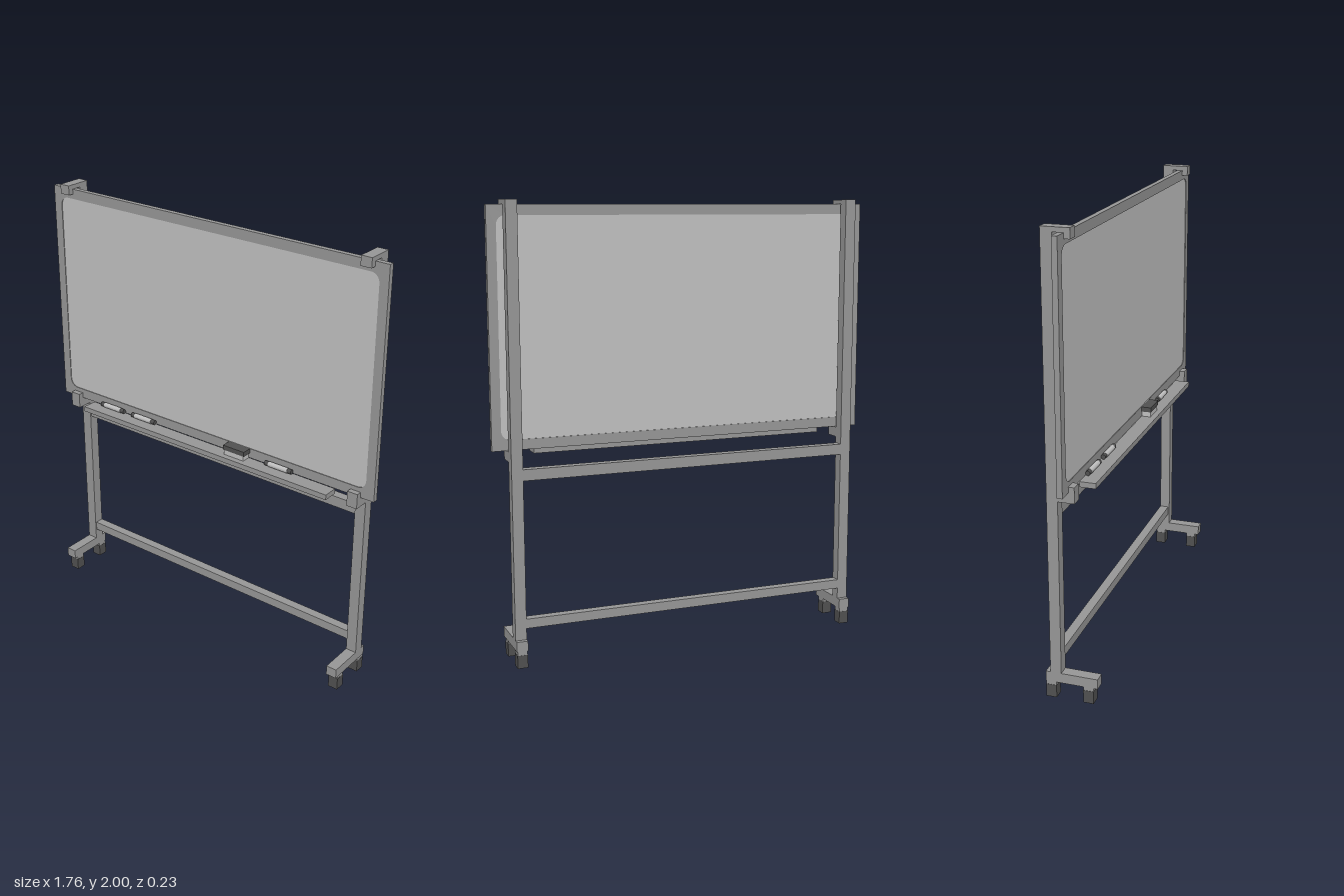
import * as THREE from 'three';

const mat = (name, color) => {
  const m = new THREE.MeshStandardMaterial({ color });
  m.name = name;
  return m;
};

export function createModel() {
  const model = new THREE.Group();
  model.name = 'mobileWhiteboard';
  const metal = mat('greyMetal', 0x969696);
  const white = mat('boardWhite', 0xc0c0c0);
  const dark = mat('darkRubber', 0x505050);

  // Box given by its minimum and maximum on each axis
  const box = (name, material, x0, x1, y0, y1, z0, z1) => {
    const mesh = new THREE.Mesh(new THREE.BoxGeometry(x1 - x0, y1 - y0, z1 - z0), material);
    mesh.position.set((x0 + x1) / 2, (y0 + y1) / 2, (z0 + z1) / 2);
    mesh.name = name;
    model.add(mesh);
    return mesh;
  };

  // Rounded rectangle centred on x = 0, used for the frame opening and the panel
  const roundedRect = (target, w, y0, y1, r) => {
    target.moveTo(-w + r, y0);
    target.lineTo(w - r, y0);
    target.absarc(w - r, y0 + r, r, -Math.PI / 2, 0);
    target.lineTo(w, y1 - r);
    target.absarc(w - r, y1 - r, r, 0, Math.PI / 2);
    target.lineTo(-w + r, y1);
    target.absarc(-w + r, y1 - r, r, Math.PI / 2, Math.PI);
    target.lineTo(-w, y0 + r);
    target.absarc(-w + r, y0 + r, r, Math.PI, Math.PI * 1.5);
    return target;
  };
  const extrude = (name, material, shape, z0, z1) => {
    const geo = new THREE.ExtrudeGeometry(shape, { depth: z1 - z0, bevelEnabled: false, curveSegments: 6 });
    const mesh = new THREE.Mesh(geo, material);
    mesh.position.z = z0;
    mesh.name = name;
    model.add(mesh);
  };

  // Board: frame with a rounded opening, panel showing on both sides
  const frame = new THREE.Shape();
  frame.moveTo(-0.88, 0.945).lineTo(0.88, 0.945).lineTo(0.88, 1.98).lineTo(-0.88, 1.98);
  frame.holes.push(roundedRect(new THREE.Path(), 0.838, 0.99, 1.935, 0.04));
  extrude('boardFrame', metal, frame, -0.024, 0);
  extrude('boardPanel', white, roundedRect(new THREE.Shape(), 0.838, 0.99, 1.935, 0.04), -0.021, -0.003);

  // Stand: posts, clamps, feet and casters on each side
  for (const [side, c] of [['left', 0.79], ['right', -0.79]]) {
    const a = c - 0.025, b = c + 0.025;
    box(side + 'Post', metal, a, b, 0.12, 2, -0.095, -0.047);
    box(side + 'TopClampArm', metal, a, b, 1.98, 2, -0.047, 0.025);
    box(side + 'TopClampLip', metal, a, b, 1.957, 1.98, 0, 0.025);
    box(side + 'BottomClampArm', metal, a, b, 0.9, 0.945, -0.047, 0.025);
    box(side + 'BottomClampLip', metal, a, b, 0.945, 0.97, 0, 0.025);
    box(side + 'Foot', metal, a, b, 0.075, 0.12, -0.116, 0.114);
    for (const [end, z] of [['Front', 0.072], ['Back', -0.093]]) {
      box(side + end + 'CasterStem', metal, c - 0.022, c + 0.022, 0.058, 0.075, z - 0.022, z + 0.022);
      box(side + end + 'Caster', dark, c - 0.023, c + 0.023, 0, 0.058, z - 0.023, z + 0.023);
    }
  }

  // Cross rails between the posts
  box('upperRail', metal, -0.765, 0.765, 0.823, 0.872, -0.095, -0.053);
  box('lowerRail', metal, -0.765, 0.765, 0.17, 0.212, -0.095, -0.053);

  // Tray with markers and an eraser
  box('tray', metal, -0.69, 0.69, 0.92, 0.944, 0, 0.07);
  const pen = (name, material, x, length, radius) => {
    const geo = new THREE.CylinderGeometry(radius, radius, length, 8);
    geo.rotateY(Math.PI / 8).rotateZ(Math.PI / 2);
    const mesh = new THREE.Mesh(geo, material);
    mesh.position.set(x, 0.956, 0.012);
    mesh.name = name;
    model.add(mesh);
  };
  for (const x of [-0.556, -0.366, 0.406]) {
    pen('markerBody', white, x, 0.1, 0.0125);
    for (const s of [-1, 1]) pen('markerCap', dark, x + s * 0.06, 0.02, 0.011);
  }
  box('eraserPad', white, 0.133, 0.238, 0.944, 0.968, 0.002, 0.043);
  box('eraserGrip', dark, 0.128, 0.243, 0.968, 0.99, 0, 0.046);

  return model;
}
